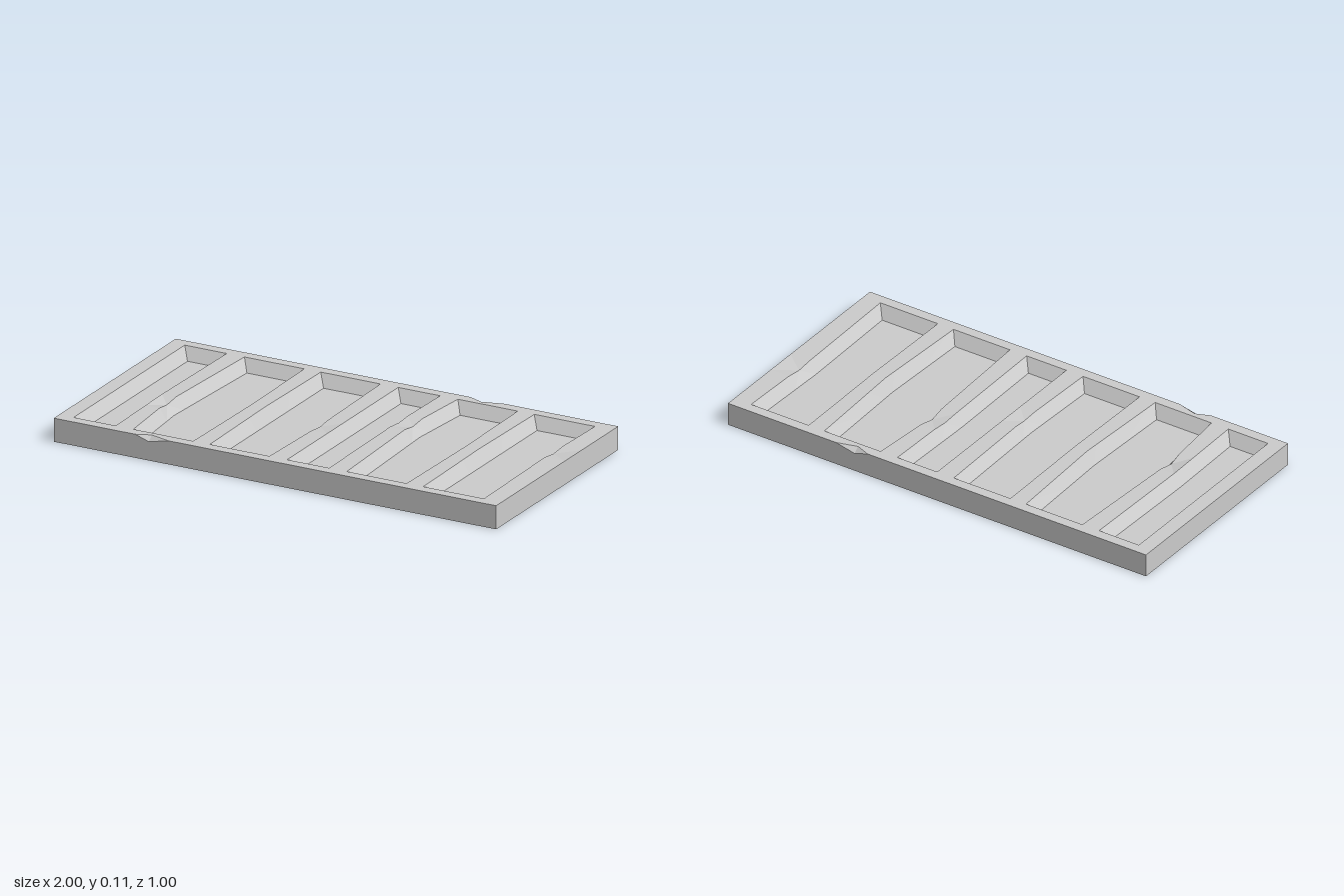
import * as THREE from 'three';

const TOP = 0.1, FLOOR = 0.05, WALL = 0.033;
const Z_OUT = 0.455, Z_IN = 0.418;

// Recesses: left and right rim, with the bow of each rim as [amount, z of the bend]
const recesses = [
  { l: -0.935, r: -0.745, bowL: [0, 0], bowR: [-0.008, 0.06] },
  { l: -0.665, r: -0.395, bowL: [-0.028, 0.13], bowR: [0.015, 0] },
  { l: -0.32, r: -0.05, bowL: [0, 0], bowR: [0.012, 0.06], },
  { l: 0.03, r: 0.22, bowL: [0, 0], bowR: [-0.008, -0.06] },
  { l: 0.3, r: 0.57, bowL: [-0.025, -0.13], bowR: [0.015, 0] },
  { l: 0.645, r: 0.92, bowL: [0, 0], bowR: [-0.01, -0.06] },
];

// Stations from back to front
const zs = [-0.5, -0.475, -Z_OUT, -Z_IN, -0.2, -0.13, -0.06, 0,
  0.06, 0.13, 0.2, Z_IN, Z_OUT, 0.475, 0.5];

// Worn spots on the rims: recess, column, z, drop
const wear = [[1, 0, 0.13, 0.012], [2, 5, 0.06, 0.006], [3, 5, -0.13, 0.006],
  [4, 0, -0.13, 0.012], [5, 5, -0.13, 0.008]];

function bow([amount, peak], z) {
  const end = z < peak ? -Z_OUT : Z_OUT;
  return amount * Math.max(0, (end - z) / (end - peak));
}

// One cross-section of the top, running along x
function section(z) {
  const row = [new THREE.Vector3(-1, TOP, z)];
  const sunk = Math.abs(z) <= Z_IN;
  recesses.forEach((p, i) => {
    const l = p.l + bow(p.bowL, z), r = p.r + bow(p.bowR, z);
    const xs = [l, l + WALL, p.l + 0.35 * (p.r - p.l),
      p.l + 0.68 * (p.r - p.l), r - WALL, r];
    xs.forEach((x, c) => {
      const rim = c === 0 || c === 5;
      let y = sunk && !rim ? FLOOR : TOP;
      // two dividers swell gently in the middle
      const swollen = (c === 5 && (i === 1 || i === 4)) || (c === 0 && (i === 2 || i === 5));
      if (swollen) y += 0.006 * Math.max(0, 1 - Math.abs(z) / 0.4);
      for (const [wi, wc, wz, drop] of wear) {
        if (wi === i && wc === c && wz === z) y -= drop;
      }
      // chips in the front and back edges
      if (c === 2 && ((i === 1 && z === 0.5) || (i === 4 && z === -0.5))) y -= 0.02;
      row.push(new THREE.Vector3(x, y, z));
    });
  });
  row.push(new THREE.Vector3(1, TOP, z));
  return row;
}

function meshFrom(name, points, material) {
  const geometry = new THREE.BufferGeometry().setFromPoints(points);
  geometry.computeVertexNormals();
  const mesh = new THREE.Mesh(geometry, material);
  mesh.name = name;
  return mesh;
}

export function createModel() {
  const group = new THREE.Group();
  group.name = 'recessedPanel';
  const material = new THREE.MeshStandardMaterial({ color: 0xcccccc, flatShading: true });
  const rows = zs.map(section);

  // Carved top: the diagonal of each quad follows the mitres and the chips
  const top = [];
  for (let j = 0; j < rows.length - 1; j++) {
    const edgeRow = j === 0 || j === rows.length - 2;
    for (let i = 0; i < rows[j].length - 1; i++) {
      const a = rows[j][i], b = rows[j + 1][i], c = rows[j + 1][i + 1], d = rows[j][i + 1];
      const acLower = a.y + c.y < b.y + d.y;
      if (acLower !== edgeRow) top.push(a, b, c, a, c, d);
      else top.push(a, b, d, b, c, d);
    }
  }
  group.add(meshFrom('carvedTop', top, material));

  // Sides: drop the outline of the top to the ground
  const outline = [
    ...rows.map((r) => r[0]),
    ...rows[rows.length - 1].slice(1),
    ...rows.map((r) => r[r.length - 1]).reverse().slice(1),
    ...rows[0].slice(0, -1).reverse(),
  ];
  const sides = [];
  const down = (p) => new THREE.Vector3(p.x, 0, p.z);
  for (let i = 0; i < outline.length - 1; i++) {
    const a = outline[i], b = outline[i + 1];
    sides.push(a, down(a), down(b), a, down(b), b);
  }
  group.add(meshFrom('sides', sides, material));

  // Underside
  const base = new THREE.Mesh(new THREE.PlaneGeometry(2, 1).rotateX(Math.PI / 2), material);
  base.name = 'underside';
  group.add(base);
  return group;
}
